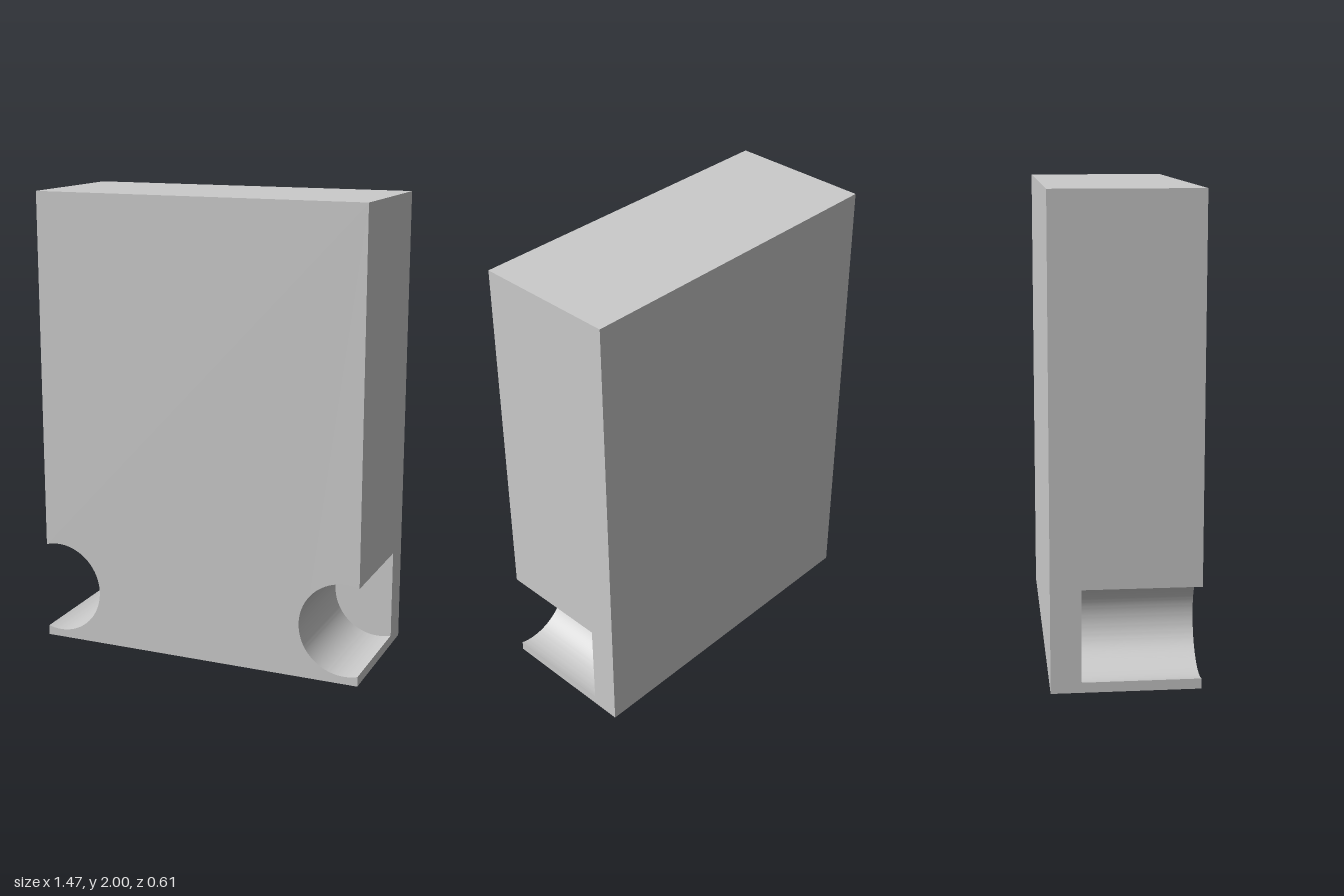
import * as THREE from 'three';
import { toCreasedNormals } from 'three/addons/utils/BufferGeometryUtils.js';

const W = 0.733, H = 2, D = 0.305;           // half width, height, half depth
const CX = 0.673, CY = 0.237, R = 0.203;     // round side recesses
const RECESS_BACK = -0.18;                   // z where the recesses end

export function createModel() {
  const group = new THREE.Group();
  group.name = 'notchedBlock';
  const material = new THREE.MeshStandardMaterial({ color: 0xcccccc });

  // Front body: rectangle with a circular bite out of each lower side
  const a = Math.acos((W - CX) / R);
  const outline = new THREE.Shape();
  outline.moveTo(-W, 0);
  outline.lineTo(W, 0);
  outline.absarc(CX, CY, R, -a, a, true);
  outline.lineTo(W, H);
  outline.lineTo(-W, H);
  outline.absarc(-CX, CY, R, Math.PI - a, Math.PI + a, true);
  outline.closePath();

  const bodyGeometry = new THREE.ExtrudeGeometry(outline, {
    depth: D - RECESS_BACK, bevelEnabled: false, curveSegments: 48,
  });
  bodyGeometry.translate(0, 0, RECESS_BACK);
  const body = new THREE.Mesh(toCreasedNormals(bodyGeometry, 0.5), material);
  body.name = 'body';
  group.add(body);

  // Solid back panel closing the recesses
  const thickness = RECESS_BACK + D;
  const back = new THREE.Mesh(new THREE.BoxGeometry(2 * W, H, thickness), material);
  back.position.set(0, H / 2, -D + thickness / 2);
  back.name = 'backPanel';
  group.add(back);

  return group;
}
